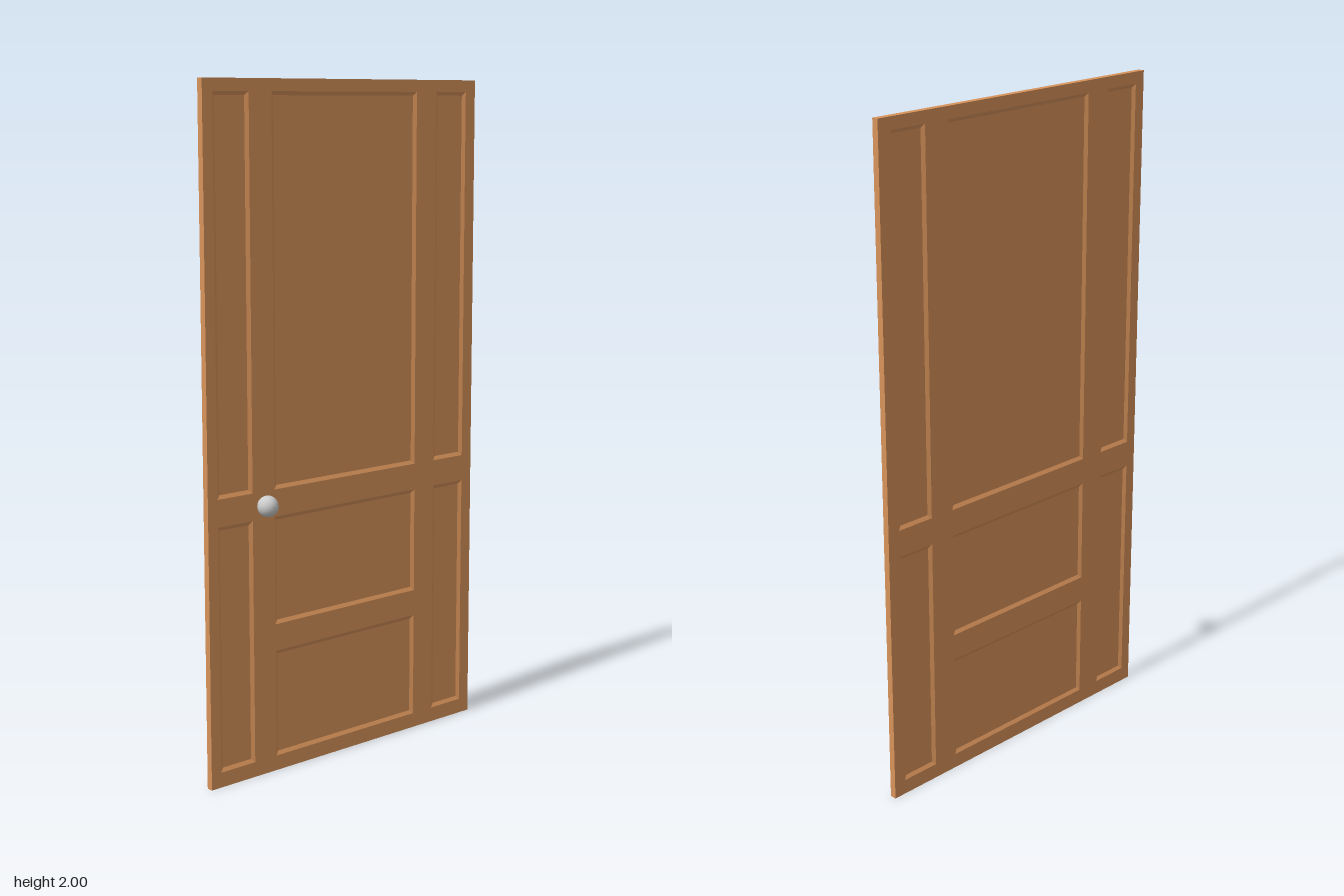
import * as THREE from 'three';

const BACK = -0.035, FRONT = -0.015, DEPTH = 0.006, BEVEL = 0.011;

// Openings as [x0, x1, y0, y1]
const openings = [
  [-0.28, 0.275, 0.845, 1.965],
  [-0.28, 0.275, 0.445, 0.765],
  [-0.28, 0.275, 0.045, 0.365],
  [-0.485, -0.36, 0.845, 1.965],
  [-0.485, -0.36, 0.045, 0.765],
  [0.355, 0.48, 0.845, 1.965],
  [0.355, 0.48, 0.045, 0.765],
];

function rectPoints(x0, x1, y0, y1) {
  return [[x0, y0], [x1, y0], [x1, y1], [x0, y1]];
}

// Sunken panel: four sloped sides and a flat floor, facing +z or -z
function recessGeometry([x0, x1, y0, y1], facing) {
  const rim = facing > 0 ? FRONT : BACK;
  const outer = rectPoints(x0, x1, y0, y1).map(([x, y]) => [x, y, rim]);
  const inner = rectPoints(x0 + BEVEL, x1 - BEVEL, y0 + BEVEL, y1 - BEVEL)
    .map(([x, y]) => [x, y, rim - facing * DEPTH]);
  const positions = [];
  const quad = (a, b, c, d) => {
    const order = facing > 0 ? [a, b, c, a, c, d] : [a, c, b, a, d, c];
    order.forEach((p) => positions.push(...p));
  };
  for (let i = 0; i < 4; i++) {
    const j = (i + 1) % 4;
    quad(outer[i], outer[j], inner[j], inner[i]);
  }
  quad(...inner);
  const geometry = new THREE.BufferGeometry();
  geometry.setAttribute('position', new THREE.Float32BufferAttribute(positions, 3));
  geometry.computeVertexNormals();
  return geometry;
}

export function createModel() {
  const model = new THREE.Group();
  model.name = 'door';
  const wood = new THREE.MeshStandardMaterial({ color: 0xd8935a });
  const metal = new THREE.MeshStandardMaterial({ color: 0xcccccc });
  const add = (name, geometry, material) => {
    const mesh = new THREE.Mesh(geometry, material);
    mesh.name = name;
    model.add(mesh);
    return mesh;
  };
  const toVectors = (o) => rectPoints(...o).map(([x, y]) => new THREE.Vector2(x, y));

  // Stiles and rails in one slab with an opening for each panel
  const outline = new THREE.Shape(toVectors([-0.519, 0.519, 0, 2]));
  outline.holes = openings.map((o) => new THREE.Path(toVectors(o).reverse()));
  const frame = new THREE.ExtrudeGeometry(outline, { depth: FRONT - BACK, bevelEnabled: false });
  frame.translate(0, 0, BACK);
  add('frame', frame, wood);

  // Sunken panels on both faces
  openings.forEach((o, i) => {
    add(`frontPanel${i + 1}`, recessGeometry(o, 1), wood);
    add(`backPanel${i + 1}`, recessGeometry(o, -1), wood);
  });

  // Round knob, set into the front face
  const knob = add('knob', new THREE.SphereGeometry(0.031, 16, 12), metal);
  knob.position.set(-0.32, 0.805, 0.004);

  return model;
}
